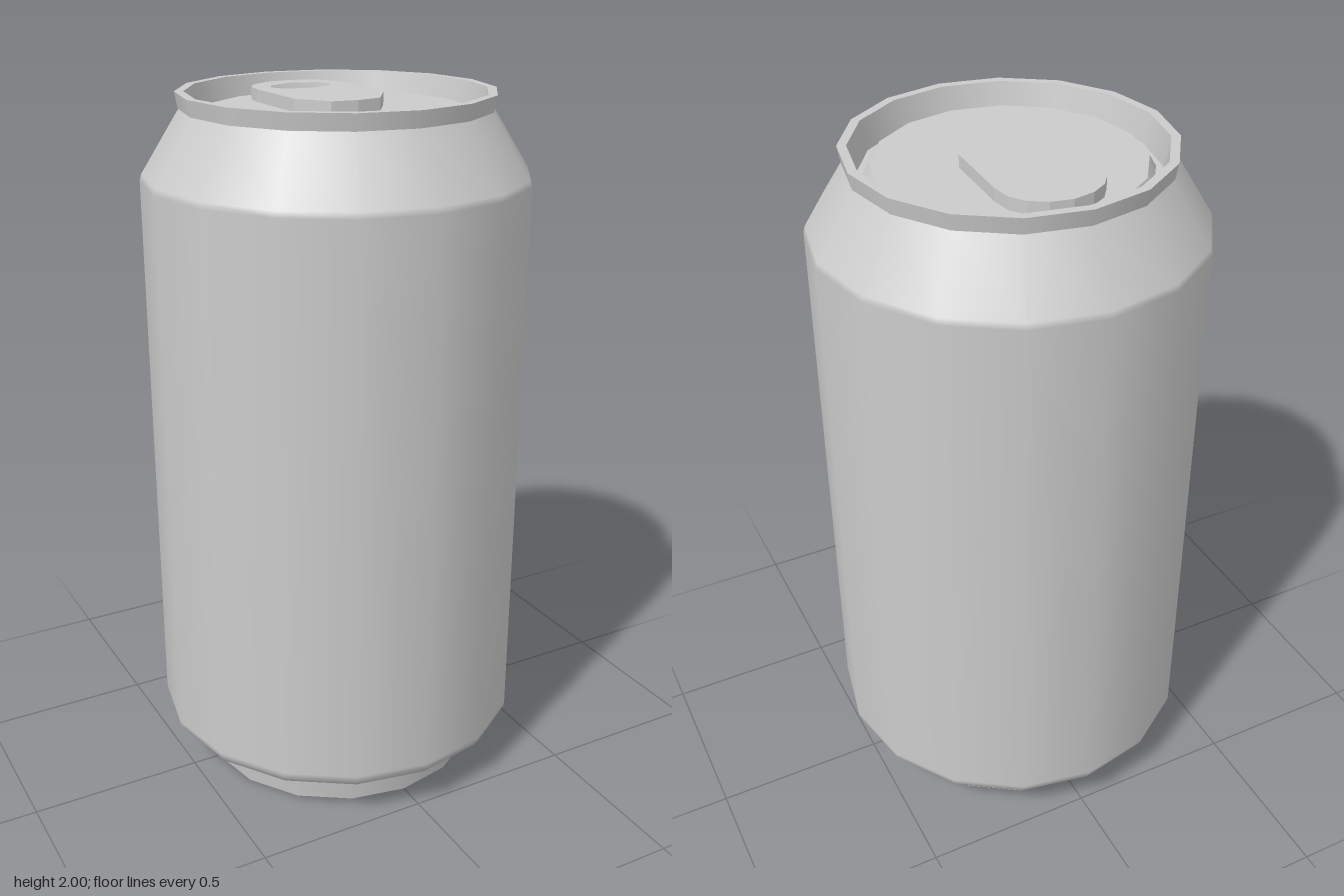
import * as THREE from 'three';

const SIDES = 16;
const PANEL_Y = 1.95;

const material = new THREE.MeshStandardMaterial({ color: 0xcccccc });

// One smooth stretch of the can's profile; separate stretches keep the edges between them sharp
function ring(name, profile) {
  const points = profile.map(([r, y]) => new THREE.Vector2(r, y));
  const mesh = new THREE.Mesh(new THREE.LatheGeometry(points, SIDES), material);
  mesh.name = name;
  return mesh;
}

// Closed symmetric outline from [x, z] points running from the back (x = 0) to the front (x = 0)
function mirrored(half) {
  const other = half.slice(1, -1).reverse().map(([x, z]) => [-x, z]);
  return [...half, ...other].map(([x, z]) => new THREE.Vector2(x, -z));
}

function pullTab() {
  const shape = new THREE.Shape(mirrored([
    [0, -0.34], [0.06, -0.328], [0.105, -0.3], [0.134, -0.26], [0.143, -0.203],
    [0.137, 0.013], [0.074, 0.105], [0, 0.117],
  ]));
  shape.holes.push(new THREE.Path(mirrored([
    [0, -0.282], [0.073, -0.257], [0.092, -0.217], [0.075, -0.175], [0, -0.157],
  ])));
  const geometry = new THREE.ExtrudeGeometry(shape, { depth: 0.035, bevelEnabled: false });
  geometry.rotateX(-Math.PI / 2);
  const mesh = new THREE.Mesh(geometry, material);
  mesh.name = 'pullTab';
  mesh.position.y = PANEL_Y;
  return mesh;
}

export function createModel() {
  const can = new THREE.Group();
  can.name = 'drinkCan';
  can.add(
    // Underside and foot
    ring('baseDome', [[0, 0.13], [0.2, 0.12], [0.33, 0.09], [0.37, 0.05], [0.385, 0]]),
    ring('footEdge', [[0.385, 0], [0.418, 0]]),
    ring('foot', [[0.418, 0], [0.426, 0.06]]),
    // Body with tapered ends
    ring('body', [
      [0.426, 0.06], [0.525, 0.13], [0.538, 0.15], [0.54, 0.165],
      [0.54, 1.765], [0.535, 1.782], [0.427, 1.955],
    ]),
    // Rim
    ring('rimOuter', [[0.429, 1.955], [0.437, 2]]),
    ring('rimTop', [[0.437, 2], [0.412, 2]]),
    ring('rimInner', [[0.412, 2], [0.395, 1.92]]),
    // Sunken lid
    ring('lidGroove', [[0.395, 1.92], [0.378, 1.92]]),
    ring('lidStep', [[0.378, 1.92], [0.36, PANEL_Y]]),
    ring('lidPanel', [[0.36, PANEL_Y], [0, PANEL_Y]]),
    pullTab(),
  );
  return can;
}
